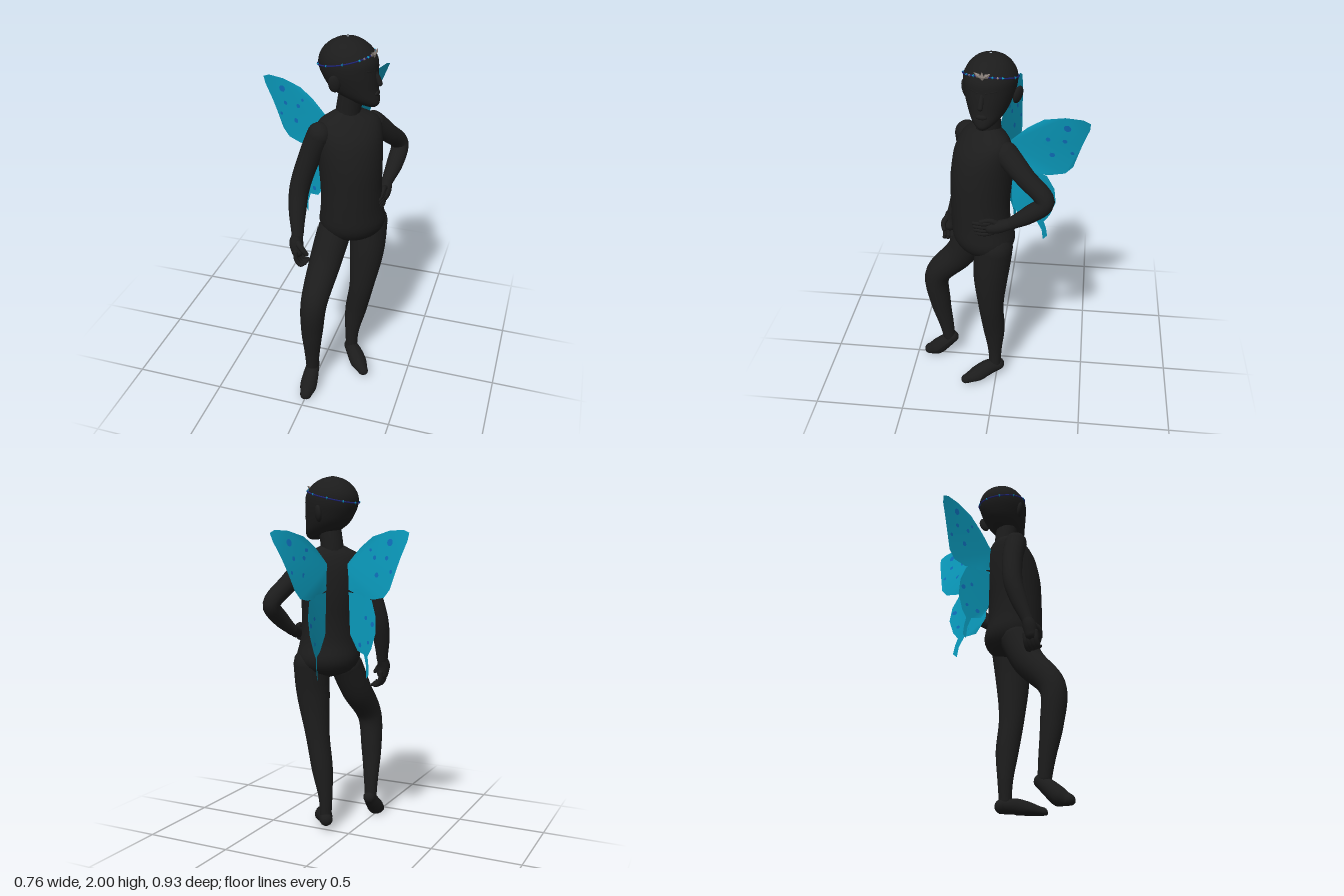
import * as THREE from 'three';
import { mergeGeometries } from 'three/addons/utils/BufferGeometryUtils.js';

const V = (x, y, z) => new THREE.Vector3(x, y, z);
const mat = (name, color, side = THREE.FrontSide) => {
  const m = new THREE.MeshStandardMaterial({ color, side });
  m.name = name;
  return m;
};

// Smooth interpolation through a list of number rows
function sample(rows, t) {
  const f = t * (rows.length - 1), i = Math.min(Math.floor(f), rows.length - 2), u = f - i;
  const at = k => rows[Math.max(0, Math.min(rows.length - 1, k))];
  return at(0).map((_, c) => {
    const [a, b, d, e] = [at(i - 1)[c], at(i)[c], at(i + 1)[c], at(i + 2)[c]];
    const m0 = (d - a) / 2, m1 = (e - b) / 2;
    return b + u * m0 + u * u * (3 * (d - b) - 2 * m0 - m1) + u * u * u * (2 * (b - d) + m0 + m1);
  });
}

// Point on an upright body: rows are [y, back z, front z, half width, centre x]
function ringPoint(r, a) {
  return V(r[4] + r[3] * Math.sin(a), r[0], (r[1] + r[2]) / 2 + (r[2] - r[1]) / 2 * Math.cos(a));
}

function loft(rows, sides = 28, steps = 30) {
  const pos = [], idx = [];
  for (let j = 0; j <= steps; j++) {
    const r = sample(rows, j / steps);
    for (let k = 0; k < sides; k++) pos.push(...ringPoint(r, k / sides * Math.PI * 2).toArray());
  }
  for (let j = 0; j < steps; j++) for (let k = 0; k < sides; k++) {
    const a = j * sides + k, b = j * sides + (k + 1) % sides;
    idx.push(a, b, a + sides, b, b + sides, a + sides);
  }
  const g = new THREE.BufferGeometry();
  g.setAttribute('position', new THREE.Float32BufferAttribute(pos, 3));
  g.setIndex(idx);
  g.computeVertexNormals();
  return g;
}

// Tapered limb with round ends: points are [x, y, z, radius]
function limb(pts, sides = 14, floor = -1) {
  const curve = new THREE.CatmullRomCurve3(pts.map(p => V(p[0], p[1], p[2])));
  const n = pts.length * 6, tube = new THREE.TubeGeometry(curve, n, 1, sides);
  const P = tube.attributes.position, N = tube.attributes.normal;
  for (let i = 0; i <= n; i++) {
    const c = curve.getPointAt(i / n), t = curve.getUtoTmapping(i / n);
    const r = sample(pts, t)[3];
    for (let j = 0; j <= sides; j++) {
      const k = i * (sides + 1) + j;
      P.setXYZ(k, c.x + N.getX(k) * r, c.y + N.getY(k) * r, c.z + N.getZ(k) * r);
    }
  }
  const caps = [pts[0], pts[pts.length - 1]].map(p =>
    new THREE.SphereGeometry(p[3], sides, 8).translate(p[0], p[1], p[2]));
  const g = mergeGeometries([tube, ...caps]);
  if (floor >= 0) {
    const q = g.attributes.position;
    for (let i = 0; i < q.count; i++) q.setY(i, Math.max(floor, q.getY(i)));
    g.computeVertexNormals();
  }
  return g;
}

export function createModel() {
  const model = new THREE.Group();
  model.name = 'wingedFigure';
  const skin = mat('charcoal body', 0x1c1c1c);
  const teal = mat('teal wing', 0x0a9bbd, THREE.DoubleSide);
  const blue = mat('blue spot', 0x0f70bd, THREE.DoubleSide);
  const navy = mat('navy band', 0x1e2478);
  const silver = mat('grey jewel', 0x8c827c);
  const add = (parent, name, geo, m = skin) => {
    const mesh = new THREE.Mesh(geo, m);
    mesh.name = name;
    parent.add(mesh);
    return mesh;
  };

  // Torso, turned partly to its left
  const body = new THREE.Group();
  body.name = 'body';
  body.position.set(0.052, 0, -0.036);
  body.rotation.y = THREE.MathUtils.degToRad(35);
  model.add(body);
  add(body, 'torso', loft([
    [0.89, 0.13, 0.15, 0.01, 0.03], [0.93, 0.02, 0.25, 0.13, 0.03], [1.0, -0.02, 0.3, 0.178, 0.03],
    [1.1, 0, 0.305, 0.167, 0.02], [1.22, 0, 0.305, 0.162, 0.015], [1.36, -0.015, 0.3, 0.168, 0.012],
    [1.49, -0.012, 0.27, 0.174, 0.01], [1.57, 0.01, 0.215, 0.162, 0.01], [1.61, 0.04, 0.17, 0.1, 0.01],
    [1.64, 0.07, 0.14, 0.04, 0.01]]));

  // Limbs
  add(model, 'neck', limb([[0.115, 1.54, 0.04, 0.075], [0.12, 1.63, 0.04, 0.064], [0.14, 1.75, 0.045, 0.064]]));
  add(model, 'leftLeg', limb([[0.235, 0.97, 0.0, 0.1], [0.232, 0.8, 0.018, 0.095], [0.208, 0.56, 0.022, 0.07],
    [0.172, 0.36, 0.01, 0.061], [0.152, 0.2, 0.008, 0.041], [0.15, 0.09, 0.008, 0.034]], 18));
  add(model, 'rightLeg', limb([[0.075, 0.95, 0.13, 0.092], [0.05, 0.8, 0.21, 0.087], [0.03, 0.62, 0.352, 0.072],
    [0.015, 0.42, 0.347, 0.06], [0.005, 0.25, 0.32, 0.044], [0.0, 0.14, 0.305, 0.036]], 18));
  add(model, 'leftFoot', limb([[0.14, 0.066, -0.008, 0.038], [0.18, 0.065, 0.05, 0.045],
    [0.225, 0.046, 0.11, 0.046], [0.265, 0.04, 0.165, 0.029]], 16, 0.03));
  add(model, 'rightFoot', limb([[0.0, 0.13, 0.285, 0.036], [0.0, 0.085, 0.335, 0.044],
    [0.0, 0.04, 0.385, 0.047], [0.0, 0.02, 0.427, 0.034]], 16, 0));
  add(model, 'rightArm', limb([[0.005, 1.525, 0.165, 0.064], [-0.045, 1.4, 0.17, 0.058], [-0.095, 1.22, 0.195, 0.053],
    [-0.097, 1.1, 0.23, 0.046], [-0.085, 0.98, 0.27, 0.032]]));
  add(model, 'leftArm', limb([[0.225, 1.525, -0.06, 0.062], [0.282, 1.43, -0.16, 0.052], [0.328, 1.322, -0.265, 0.048],
    [0.322, 1.24, -0.185, 0.045], [0.302, 1.17, -0.095, 0.032]]));

  // Hands: palm, four fingers and a thumb
  const rightHand = new THREE.Group(), leftHand = new THREE.Group();
  rightHand.name = 'rightHand';
  leftHand.name = 'leftHand';
  model.add(rightHand, leftHand);
  add(leftHand, 'palm', limb([[0.302, 1.17, -0.095, 0.03], [0.308, 1.15, -0.03, 0.034], [0.308, 1.14, 0.01, 0.03]]));
  add(leftHand, 'thumb', limb([[0.308, 1.16, -0.04, 0.017], [0.312, 1.185, 0.01, 0.014], [0.312, 1.175, 0.06, 0.011]], 8));
  add(rightHand, 'palm', limb([[-0.085, 0.98, 0.27, 0.03], [-0.088, 0.94, 0.284, 0.037], [-0.08, 0.89, 0.29, 0.033]]));
  add(rightHand, 'thumb', limb([[-0.075, 0.95, 0.3, 0.018], [-0.043, 0.925, 0.32, 0.015], [-0.022, 0.895, 0.315, 0.012]], 8));
  for (let i = 0; i < 4; i++) {
    const z = 0.255 + i * 0.021, y = 1.105 + i * 0.02;
    add(rightHand, 'finger', limb([[-0.082, 0.9, z, 0.014], [-0.078, 0.855, z, 0.013],
      [-0.056, 0.825, z, 0.012], [-0.03, 0.826 + i * 0.004, z, 0.009]], 8));
    add(leftHand, 'finger', limb([[0.31, y + 0.01, 0.0, 0.014], [0.314, y, 0.04, 0.013],
      [0.308, y - 0.002, 0.085 + 0.004 * i, 0.01]], 8));
  }

  // Head, turned further to its left
  const head = new THREE.Group();
  head.name = 'head';
  head.position.set(0.107, 0, 0.027);
  head.rotation.y = THREE.MathUtils.degToRad(80);
  model.add(head);
  const skull = [[1.662, 0.1, 0.155, 0.015, 0], [1.68, 0.04, 0.174, 0.045, 0], [1.71, -0.03, 0.174, 0.076, 0],
    [1.75, -0.09, 0.167, 0.1, 0], [1.8, -0.125, 0.164, 0.118, 0], [1.85, -0.145, 0.16, 0.13, 0],
    [1.9, -0.143, 0.154, 0.13, 0], [1.95, -0.112, 0.12, 0.104, 0], [1.985, -0.06, 0.066, 0.062, 0],
    [2.0, -0.006, 0.006, 0.006, 0]];
  add(head, 'skull', loft(skull));
  add(head, 'nose', limb([[0, 1.845, 0.15, 0.011], [0, 1.81, 0.168, 0.013], [0, 1.788, 0.178, 0.013]], 10));
  add(head, 'lips', new THREE.SphereGeometry(1, 14, 8).scale(0.028, 0.014, 0.01).translate(0, 1.735, 0.164));
  for (const s of [-1, 1]) {
    const ear = add(head, 'ear', new THREE.SphereGeometry(1, 14, 10).scale(0.016, 0.046, 0.03));
    ear.position.set(s * 0.135, 1.8, -0.004);
    ear.rotation.set(-0.2, s * -0.5, s * -0.25);
    add(head, 'brow', limb([[s * 0.02, 1.855, 0.149, 0.01], [s * 0.06, 1.862, 0.133, 0.009],
      [s * 0.09, 1.852, 0.1, 0.006]], 8));
  }

  // Circlet following the skull, higher at the brow
  const bandPoint = a => {
    const y = 1.893 + 0.038 * Math.cos(a);
    let lo = 0, hi = 1;
    for (let i = 0; i < 20; i++) sample(skull, (lo + hi) / 2)[0] < y ? lo = (lo + hi) / 2 : hi = (lo + hi) / 2;
    const p = ringPoint(sample(skull, lo), a);
    return V(p.x * 1.02, p.y, p.z * 1.02);
  };
  const angles = Array.from({ length: 32 }, (_, i) => i / 32 * Math.PI * 2);
  add(head, 'circlet', new THREE.TubeGeometry(new THREE.CatmullRomCurve3(angles.map(bandPoint), true), 64, 0.004, 6, true), navy);
  angles.forEach((a, i) => {
    const nearBrow = Math.cos(a) > 0.75;
    if (i % 3 === 1 || nearBrow)
      add(head, 'circletBead', new THREE.OctahedronGeometry(0.008), nearBrow && i % 2 ? silver : teal).position.copy(bandPoint(a));
  });
  const front = bandPoint(0);
  for (const s of [-1, 0, 1]) {
    const jewel = add(head, 'jewel', new THREE.OctahedronGeometry(1).scale(0.012, 0.024, 0.007), silver);
    jewel.position.set(s * 0.021, front.y + Math.abs(s) * 0.006, front.z + 0.005);
    jewel.rotation.z = -s * 0.9;
  }

  // Wings: flat outlines [distance from root, height], leaning back towards the bottom
  const outlines = {
    upperWing: [[-0.06, 1.4], [-0.06, 1.52], [0.0, 1.58], [0.05, 1.625], [0.13, 1.68], [0.24, 1.71], [0.33, 1.715],
      [0.368, 1.7], [0.362, 1.66], [0.325, 1.57], [0.3, 1.5], [0.27, 1.41], [0.23, 1.365], [0.15, 1.35], [0.05, 1.36]],
    lowerWing: [[-0.04, 1.38], [0.08, 1.37], [0.14, 1.345], [0.176, 1.26], [0.18, 1.17], [0.15, 1.085], [0.122, 1.045],
      [0.132, 1.0], [0.137, 0.945], [0.117, 0.925], [0.112, 0.99], [0.09, 1.05], [0.03, 1.065], [-0.03, 1.15]] };
  const spots = [[0.25, 1.65, 0.019], [0.235, 1.57, 0.012], [0.17, 1.48, 0.014], [0.15, 1.57, 0.012],
    [0.12, 1.61, 0.009], [0.27, 1.5, 0.01], [0.155, 1.22, 0.014], [0.1, 1.25, 0.011], [0.055, 1.1, 0.013], [0.125, 1.12, 0.01]];
  const sides = [
    { name: 'leftWings', side: 1, out: 0.775, back: 0.63, slope: 0.93, reach: 1 },
    { name: 'rightWings', side: -1, out: 0.678, back: 0.735, slope: 0.45, reach: 0.96 }];
  for (const { name, side, out, back, slope, reach } of sides) {
    const place = (d, y, off) => {
      const s = d * reach, lean = (1.7 - y) * slope * Math.max(s, 0) + off;
      return V(side * (0.09 + s * out - lean * back), y, -0.029 - s * back - lean * out);
    };
    const bend = (g, off) => {
      const p = g.attributes.position;
      for (let i = 0; i < p.count; i++) p.setXYZ(i, ...place(p.getX(i), p.getY(i), off).toArray());
      g.computeVertexNormals();
      return g;
    };
    const wing = new THREE.Group();
    wing.name = name;
    body.add(wing);
    for (const [part, pts] of Object.entries(outlines)) {
      const shape = new THREE.Shape(pts.map(p => new THREE.Vector2(...p)));
      add(wing, part, bend(new THREE.ShapeGeometry(shape), 0), teal);
    }
    for (const [s, y, r] of spots) for (const off of [-0.004, 0.004])
      add(wing, 'wingSpot', bend(new THREE.CircleGeometry(r, 10).translate(s, y, 0), off), blue);
  }
  return model;
}
